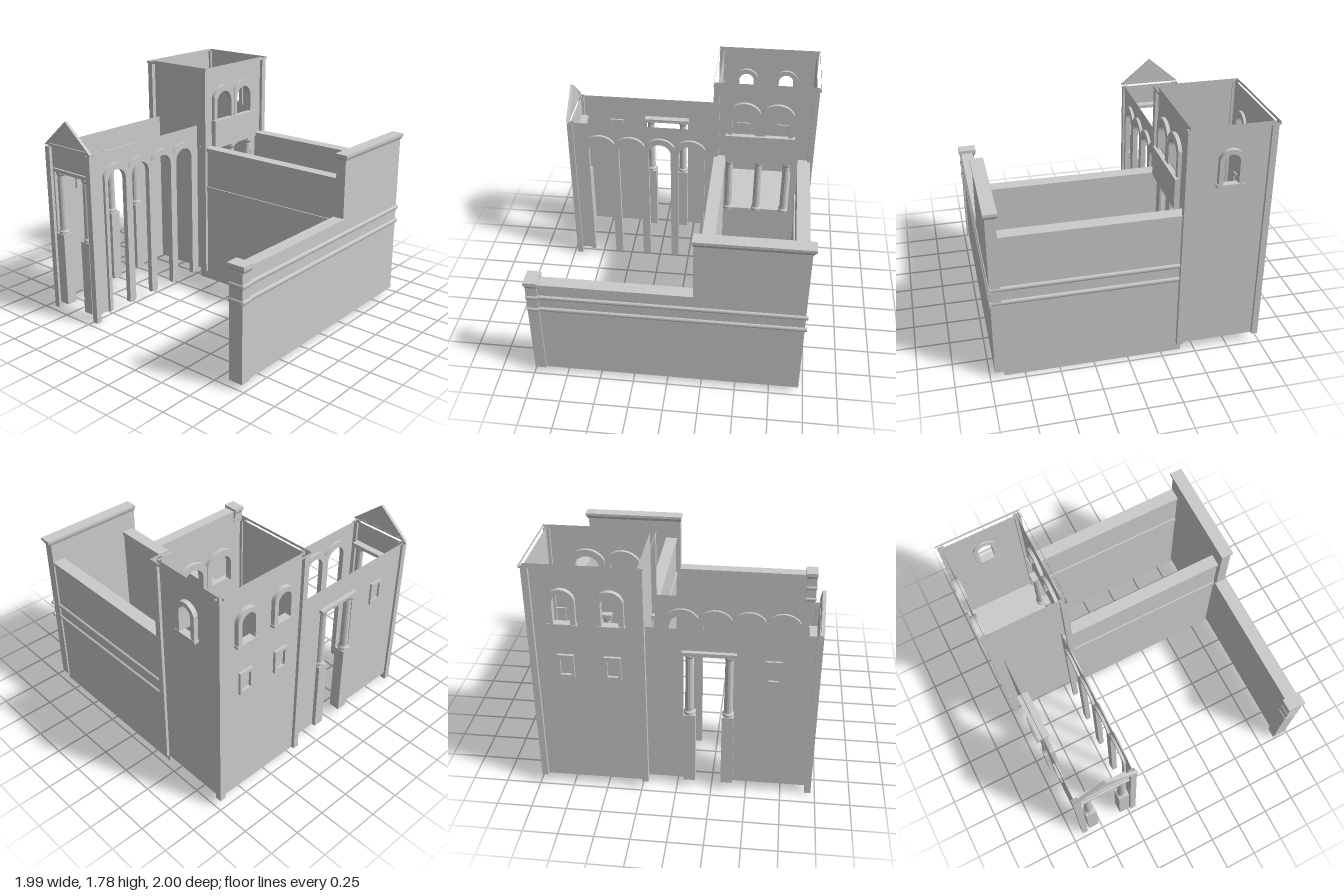
import * as THREE from 'three';

const material = new THREE.MeshStandardMaterial({ color: 0xcccccc, side: THREE.DoubleSide });
const FACES = ['+x', '-x', '+y', '-y', '+z', '-z'];

export function createModel() {
  const model = new THREE.Group();

  const add = (name, geometry, parent = model) => {
    const mesh = new THREE.Mesh(geometry, material);
    mesh.name = name;
    parent.add(mesh);
    return mesh;
  };
  const group = (name) => {
    const g = new THREE.Group();
    g.name = name;
    model.add(g);
    return g;
  };
  // box given by its extents; the faces listed in open are left out
  const box = (name, x0, x1, y0, y1, z0, z1, parent, open = []) => {
    const g = new THREE.BoxGeometry(x1 - x0, y1 - y0, z1 - z0)
      .translate((x0 + x1) / 2, (y0 + y1) / 2, (z0 + z1) / 2);
    const index = Array.from(g.index.array).filter((_, i) => !open.includes(FACES[Math.floor(i / 6)]));
    g.setIndex(index);
    g.clearGroups();
    return add(name, g, parent);
  };
  const vectors = (points) => points.map(p => new THREE.Vector2(...p));

  // upright pieces: across x, or across z (u = -z) when side is true
  const slab = (name, shape, from, to, side, parent) => {
    const g = new THREE.ExtrudeGeometry(shape, { depth: to - from, bevelEnabled: false, curveSegments: 14 });
    g.translate(0, 0, from);
    if (side) g.rotateY(Math.PI / 2);
    add(name, g, parent);
  };
  const sheet = (name, shape, at, side, parent) => {
    const g = new THREE.ShapeGeometry(shape, 14).translate(0, 0, at);
    if (side) g.rotateY(Math.PI / 2);
    add(name, g, parent);
  };
  const rect = (P, u0, u1, y0, y1) => new P(vectors([[u0, y0], [u1, y0], [u1, y1], [u0, y1]]));
  // round-headed opening cut into the bottom edge of an outline
  const notch = (path, { c, r, y0, spring }) => {
    path.lineTo(c - r, y0);
    path.lineTo(c - r, spring);
    path.absarc(c, spring, r, Math.PI, 0, true);
    path.lineTo(c + r, y0);
  };
  const archHole = (a) => {
    const p = new THREE.Path();
    p.moveTo(a.c - a.r, a.y0);
    notch(p, a);
    p.closePath();
    return p;
  };
  // arch surround, its outer arc clipped to the half-width w
  const surround = (a, w, R) => {
    const s = new THREE.Shape();
    s.moveTo(a.c - w, a.y0);
    notch(s, a);
    s.lineTo(a.c + w, a.y0);
    const t = Math.acos(Math.min(1, w / R));
    s.absarc(a.c, a.spring, R, t, Math.PI - t, false);
    s.closePath();
    return s;
  };

  // round column with base and capital
  const column = (x, z, top, parent) => {
    const profile = vectors([[0, 0.65], [0.04, 0.65], [0.04, 0.668], [0.031, 0.68], [0.028, top - 0.03],
      [0.037, top - 0.015], [0.037, top], [0, top]]);
    const g = new THREE.LatheGeometry(profile, 14).toNonIndexed();
    g.computeVertexNormals();
    add('column', g.translate(x, 0, z), parent);
  };
  const pedestal = (x, z, parent) =>
    box('pedestal', x - 0.042, x + 0.042, 0.075, 0.65, z - 0.042, z + 0.042, parent, ['-y']);
  // square picture-frame moulding on a side wall
  const sideFrame = (x, zc, parent) => {
    const s = rect(THREE.Shape, -zc - 0.057, -zc + 0.057, 0.94, 1.12);
    s.holes.push(rect(THREE.Path, -zc - 0.037, -zc + 0.037, 0.965, 1.095));
    slab('windowFrame', s, x - 0.015, x + 0.015, true, parent);
  };

  // ---- Tower ----
  const tower = group('tower');
  const Y0 = 0.075, Y1 = 1.79;
  sheet('towerFrontWall', rect(THREE.Shape, -0.96, -0.387, Y0, Y1), -0.235, false, tower);

  const backArch = { c: -0.676, r: 0.056, y0: 1.37, spring: 1.535 };
  const back = rect(THREE.Shape, -0.96, -0.387, Y0, Y1);
  back.holes.push(archHole(backArch));
  sheet('towerBackWall', back, -0.963, false, tower);
  slab('backWindowSurround', surround(backArch, 0.088, 0.09), -0.997, -0.95, false, tower);
  box('backWindowSill', -0.772, -0.58, 1.35, 1.37, -1.0, -0.95, tower);

  const left = rect(THREE.Shape, 0.235, 0.963, Y0, Y1);
  for (const c of [0.422, 0.742]) {
    const a = { c, r: 0.058, y0: 1.37, spring: 1.53 };
    left.holes.push(archHole(a));
    slab('leftWindowSurround', surround(a, 0.093, 0.095), -0.993, -0.94, true, tower);
    box('leftWindowSill', -0.997, -0.94, 1.35, 1.37, -c - 0.098, -c + 0.098, tower);
    sideFrame(-0.965, -c, tower);
  }
  sheet('towerLeftWall', left, -0.96, true, tower);

  const right = rect(THREE.Shape, 0.235, 0.963, Y0, Y1);
  right.holes.push(rect(THREE.Path, 0.31, 0.82, 0.65, 1.13));
  for (const c of [0.437, 0.69]) {
    const a = { c, r: 0.088, y0: 1.36, spring: 1.497 };
    right.holes.push(archHole(a));
    slab('rightWindowSurround', surround(a, 0.125, 0.138), -0.412, -0.36, true, tower);
  }
  sheet('towerRightWall', right, -0.387, true, tower);
  box('balconyParapet', -0.38, -0.34, 1.13, 1.36, -0.83, -0.3, tower);
  for (const z of [-0.335, -0.565, -0.785]) {
    column(-0.397, z, 1.11, tower);
    box('capital', -0.435, -0.36, 1.11, 1.13, z - 0.037, z + 0.037, tower);
  }
  add('towerFloor', new THREE.PlaneGeometry(0.573, 0.728).rotateX(-Math.PI / 2).translate(-0.6735, 0.65, -0.599), tower);

  for (const [x0, x1] of [[-0.985, -0.94], [-0.408, -0.362]])
    for (const [z0, z1] of [[-0.985, -0.94], [-0.245, -0.2]])
      box('cornerPilaster', x0, x1, Y0, 1.78, z0, z1, tower, ['+y', '-y']);
  box('towerRim', -0.995, -0.355, 1.772, Y1, -0.995, -0.197, tower, ['+y', '-y']);

  // ---- Front wing ----
  const wing = group('frontWing');
  const arcade = new THREE.Shape();
  arcade.moveTo(-0.95, Y0);
  for (let i = 0; i < 4; i++) {
    const a = { c: -0.715 + i * 0.243, r: 0.09, y0: Y0, spring: 1.09 };
    notch(arcade, a);
    slab('arcadeSurround', surround(a, 0.1215, 0.14), -0.468, -0.428, true, wing);
  }
  [[0.2, Y0], [0.2, 1.33], [-0.95, 1.33]].forEach(p => arcade.lineTo(...p));
  sheet('arcadeWall', arcade, -0.45, true, wing);

  // wall outline with a square doorway
  const doorWall = (u0, u1, d0, d1) => new THREE.Shape(vectors([[u0, Y0], [d0, Y0], [d0, 1.15], [d1, 1.15],
    [d1, Y0], [u1, Y0], [u1, 1.33], [u0, 1.33]]));
  sheet('wingLeftWall', doorWall(-0.95, 0.235, -0.4, -0.05), -0.9, true, wing);
  box('sideLintel', -0.93, -0.845, 1.138, 1.165, 0.04, 0.41, wing);
  for (const z of [0.09, 0.36]) {
    pedestal(-0.888, z, wing);
    column(-0.888, z, 1.138, wing);
  }
  sideFrame(-0.9, 0.657, wing);

  sheet('facadeWall', doorWall(-0.9, -0.45, -0.86, -0.48), 0.945, false, wing);
  box('portalLintel', -0.855, -0.483, 1.138, 1.165, 0.888, 0.96, wing);
  for (const x of [-0.81, -0.533]) {
    pedestal(x, 0.923, wing);
    column(x, 0.923, 1.138, wing);
  }
  for (const x of [-0.895, -0.457])
    box('facadePost', x - 0.023, x + 0.023, 0.02, 1.325, 0.925, 0.97, wing, ['+y', '-y']);

  // pediment: thin triangle with a raised border
  const tri = (P, w, y0, y1) => new P(vectors([[-0.67 - w, y0], [-0.67 + w, y0], [-0.67, y1]]));
  slab('pediment', tri(THREE.Shape, 0.235, 1.345, 1.535), 0.952, 0.965, false, wing);
  const border = tri(THREE.Shape, 0.246, 1.342, 1.55);
  border.holes.push(tri(THREE.Path, 0.2, 1.357, 1.522));
  slab('pedimentBorder', border, 0.95, 0.974, false, wing);

  // ---- Courtyard walls ----
  const court = group('courtyard');
  const crossWall = (name, x0, z0, z1) => {
    box(name, x0, 0.9, 0.005, 1.12, z0 + 0.01, z1 - 0.01, court, ['+x', '-x', '+y', '-y']);
    box(name + 'Coping', x0, 0.9, 1.12, 1.15, z0, z1, court);
  };
  crossWall('frontCourtWall', -0.44, -0.307, -0.213);
  crossWall('backCourtWall', -0.4, -0.963, -0.865);
  for (const z of [-0.223, -0.875]) box('courtMoulding', -0.38, 0.89, 0.785, 0.825, z - 0.01, z + 0.01, court);

  // long wall: low towards the front, high at the back
  const B = 0.05;
  box('longWall', 0.89, 0.965, B, 0.84, -0.965, 0.92, court, ['-y']);
  box('longWallCoping', 0.88, 0.975, 0.835, 0.865, -0.19, 0.92, court);
  box('highWall', 0.89, 0.965, 0.8, 1.31, -0.965, -0.185, court, ['-y']);
  // block flaring out towards its top
  const flare = (name, x0, x1, y0, y1, z0, z1, grow) => {
    const m = box(name, x0, x1, y0, y1, z0, z1, court), p = m.geometry.attributes.position;
    const cx = (x0 + x1) / 2, cz = (z0 + z1) / 2, cy = (y0 + y1) / 2;
    for (let i = 0; i < p.count; i++) if (p.getY(i) > cy) {
      p.setX(i, p.getX(i) + Math.sign(p.getX(i) - cx) * grow);
      p.setZ(i, p.getZ(i) + Math.sign(p.getZ(i) - cz) * grow);
    }
    m.geometry.computeVertexNormals();
  };
  flare('highWallCornice', 0.89, 0.965, 1.3, 1.325, -0.975, -0.185, 0.01);
  box('highWallCap', 0.88, 0.977, 1.325, 1.345, -0.99, -0.175, court);
  box('frontPier', 0.868, 0.978, B, 0.84, 0.91, 0.993, court, ['-y']);
  flare('pierCornice', 0.868, 0.978, 0.835, 0.86, 0.91, 0.988, 0.012);
  box('pierCap', 0.853, 0.993, 0.86, 0.89, 0.9, 1.0, court);

  // rounded string courses running round the pier, the long wall and the back
  const roll = (name, length, x, y, z, alongX) => {
    const g = new THREE.CylinderGeometry(1, 1, length, 12).rotateX(Math.PI / 2).scale(0.012, 0.018, 1);
    if (alongX) g.rotateY(Math.PI / 2);
    add(name, g.translate(x, y, z), court);
  };
  for (const y of [0.635, 0.745]) {
    roll('longWallRoll', 1.89, 0.965, y, -0.035, false);
    roll('backRoll', 1.33, 0.3, y, -0.956, true);
    for (const x of [0.87, 0.974]) roll('pierSideRoll', 0.083, x, y, 0.951, false);
    roll('pierFrontRoll', 0.108, 0.923, y, 0.988, true);
  }

  return model;
}
